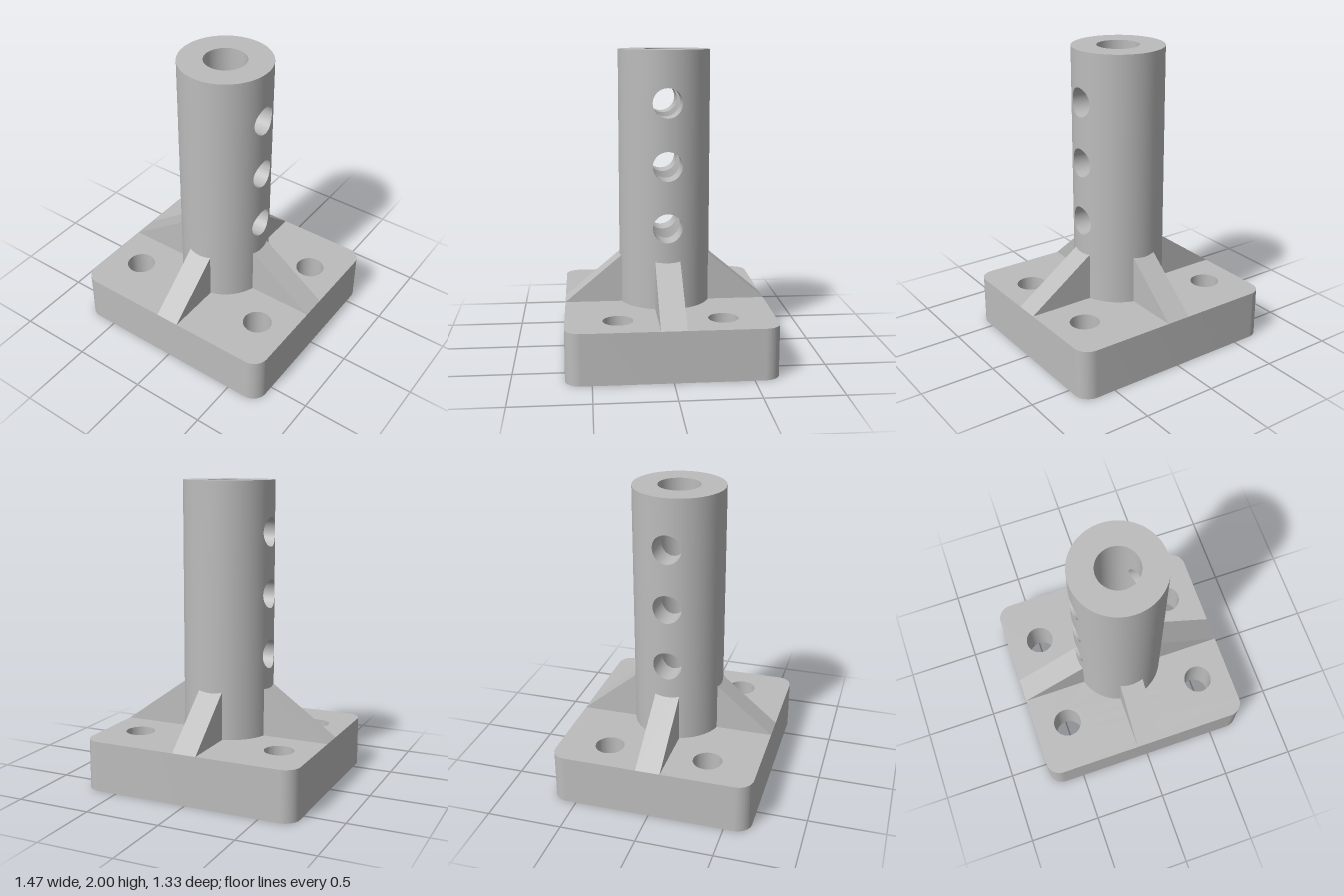
import * as THREE from 'three';
import { toCreasedNormals } from 'three/addons/utils/BufferGeometryUtils.js';
import { ParametricGeometry } from 'three/addons/geometries/ParametricGeometry.js';

const HALF_X = 0.733, HALF_Z = 0.667, CORNER = 0.1, BASE_H = 0.333;
const OUTER = 0.3, BORE = 0.138, TOP = 2;
const PIN_R = 0.095, PIN_Y = [0.87, 1.27, 1.67], PATCH = 0.2;

export function createModel() {
  const group = new THREE.Group();
  const grey = new THREE.MeshStandardMaterial({ color: 0xbcbcbc });
  grey.name = 'grey';
  const add = (name, geometry, parent = group) => {
    const mesh = new THREE.Mesh(geometry, grey);
    mesh.name = name;
    parent.add(mesh);
    return mesh;
  };

  // Base plate with rounded corners, bolt holes and central bore
  const plate = new THREE.Shape();
  const cx = HALF_X - CORNER, cz = HALF_Z - CORNER;
  plate.absarc(cx, cz, CORNER, 0, Math.PI / 2);
  plate.absarc(-cx, cz, CORNER, Math.PI / 2, Math.PI);
  plate.absarc(-cx, -cz, CORNER, Math.PI, Math.PI * 1.5);
  plate.absarc(cx, -cz, CORNER, Math.PI * 1.5, Math.PI * 2);
  const drill = (x, y, r) => {
    const hole = new THREE.Path();
    hole.absarc(x, y, r, 0, Math.PI * 2, true);
    plate.holes.push(hole);
  };
  drill(0, 0, BORE);
  for (const sx of [-1, 1]) for (const sz of [-1, 1]) drill(sx * 0.5, sz * 0.333, 0.096);
  const base = new THREE.ExtrudeGeometry(plate, { depth: BASE_H, bevelEnabled: false, curveSegments: 32 });
  base.rotateX(-Math.PI / 2);
  add('basePlate', toCreasedNormals(base, 0.6));

  // Plain tube sections below and above the drilled zone, and the top rim
  const post = new THREE.Group();
  post.name = 'post';
  group.add(post);
  const ring = (name, r0, y0, r1, y1) =>
    add(name, new THREE.LatheGeometry([new THREE.Vector2(r0, y0), new THREE.Vector2(r1, y1)], 64), post);
  const low = PIN_Y[0] - PATCH, high = PIN_Y[2] + PATCH;
  for (const [y0, y1] of [[BASE_H, low], [high, TOP]]) {
    ring('postWall', OUTER, y0, OUTER, y1);
    ring('postBore', BORE, y1, BORE, y0);
  }
  ring('postRim', OUTER, TOP, BORE, TOP);

  // Drilled zone: half-round patches running from a pin hole to a rectangular border
  const onTube = (r, angle, y, out) => out.set(r * Math.cos(angle), y, -r * Math.sin(angle));
  const holeEdge = (r, v) => {
    const t = -Math.PI / 4 + 2 * Math.PI * v;
    return [Math.asin(PIN_R * Math.cos(t) / r), PIN_R * Math.sin(t)];
  };
  const border = (v) => {
    const f = 2 * (4 * v - Math.floor(4 * v)) - 1;
    const [a, b] = [[1, f], [-f, 1], [-1, -f], [f, -1]][Math.floor(4 * v) % 4];
    return [a * Math.PI / 2, b * PATCH];
  };
  const wall = (r, inward) => new ParametricGeometry((u, v, out) => {
    const k = inward ? 1 - u : u;
    const [a0, y0] = holeEdge(r, v), [a1, y1] = border(v);
    onTube(r, a0 + (a1 - a0) * k, y0 + (y1 - y0) * k, out);
  }, 12, 128);
  const p = new THREE.Vector3();
  const tunnel = new ParametricGeometry((u, v, out) => {
    onTube(BORE, ...holeEdge(BORE, v), out);
    out.lerp(onTube(OUTER, ...holeEdge(OUTER, v), p), u);
  }, 2, 128);
  const outerWall = wall(OUTER, false), innerWall = wall(BORE, true);
  for (const y of PIN_Y) {
    for (const turn of [0, Math.PI]) {
      const half = new THREE.Group();
      half.name = 'drilledHalf';
      half.position.y = y;
      half.rotation.y = turn;
      post.add(half);
      add('drilledWall', outerWall, half);
      add('drilledBore', innerWall, half);
      add('pinHole', tunnel, half);
    }
  }

  // Four sloping ribs, with their inner ends buried in the tube wall
  const ribW = 0.163, inner = 0.25, meet = 0.289, meetY = 0.65;
  for (let k = 0; k < 4; k++) {
    const reach = k % 2 ? HALF_Z : HALF_X;
    const topY = BASE_H + (meetY - BASE_H) * (reach - inner) / (reach - meet);
    const side = new THREE.Shape([
      new THREE.Vector2(inner, BASE_H),
      new THREE.Vector2(reach, BASE_H),
      new THREE.Vector2(inner, topY),
    ]);
    const geometry = new THREE.ExtrudeGeometry(side, { depth: ribW, bevelEnabled: false });
    geometry.translate(0, 0, -ribW / 2);
    add('rib', geometry).rotation.y = k * Math.PI / 2;
  }
  return group;
}
